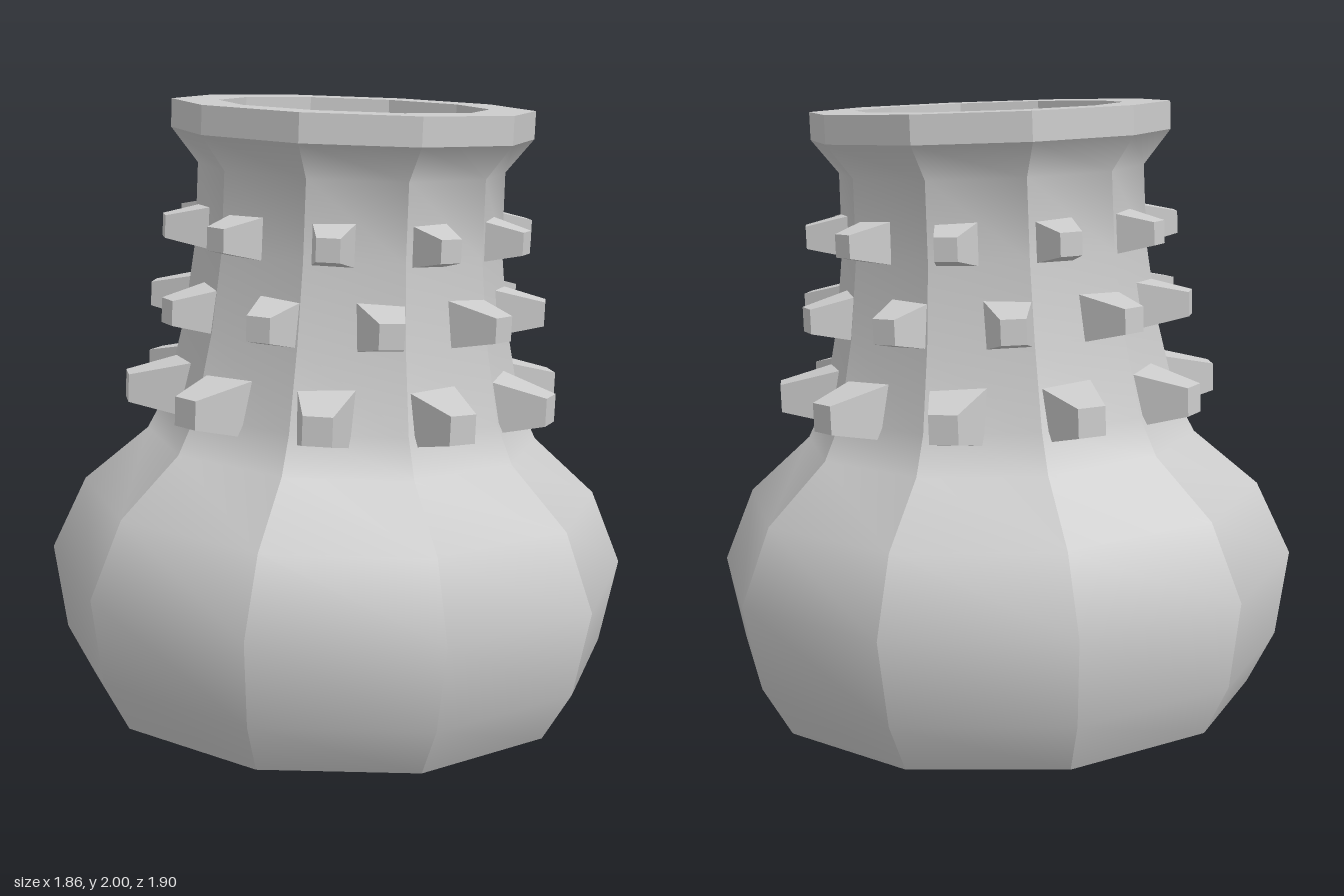
import * as THREE from 'three';
import { mergeGeometries } from 'three/addons/utils/BufferGeometryUtils.js';

const SIDES = 10;
const STEP = (Math.PI * 2) / SIDES;
const START = THREE.MathUtils.degToRad(-5.4);

// Ten-sided turned shell: hard edges between facets; each facet is
// either smooth along the profile or flat at every profile point.
function facetedLathe(profile, smooth) {
  const points = profile.map(([r, y]) => new THREE.Vector2(r, y));
  const strips = [];
  for (let i = 0; i < SIDES; i++) {
    let strip = new THREE.LatheGeometry(points, 1, START + i * STEP, STEP);
    if (!smooth) strip = strip.toNonIndexed();
    strip.computeVertexNormals();
    strips.push(strip);
  }
  return mergeGeometries(strips);
}

// Tapered square stud pointing along +z, from z = 0 to z = length
function studGeometry(base, tip, length) {
  const geo = new THREE.CylinderGeometry(tip * Math.SQRT1_2, base * Math.SQRT1_2, length, 4).toNonIndexed();
  geo.rotateY(Math.PI / 4);
  geo.rotateX(Math.PI / 2);
  geo.translate(0, 0, length / 2);
  geo.computeVertexNormals();
  return geo;
}

export function createModel() {
  const model = new THREE.Group();
  model.name = 'studdedJar';
  const material = new THREE.MeshStandardMaterial({ color: 0xcccccc });
  const flatMaterial = new THREE.MeshStandardMaterial({ color: 0xcccccc, flatShading: true });

  // The whole jar leans slightly forward and to its left
  const jar = new THREE.Group();
  jar.name = 'jar';
  jar.position.set(-0.018, 0.03, -0.018);
  jar.rotation.set(0.028, 0, -0.027);
  model.add(jar);

  const add = (name, geometry, mat, parent = jar) => {
    const mesh = new THREE.Mesh(geometry, mat);
    mesh.name = name;
    parent.add(mesh);
    return mesh;
  };

  // Bulbous body and neck
  add('body', facetedLathe([
    [0.81, 0], [0.905, 0.17], [0.955, 0.45], [0.85, 0.69], [0.645, 0.87],
    [0.585, 0.99], [0.53, 1.25], [0.5, 1.5], [0.497, 1.75], [0.585, 1.86],
  ], true), material);

  // Flat underside
  add('base', facetedLathe([[0, 0], [0.81, 0]], false), flatMaterial);

  // Rim band, lip, inner wall and inner floor
  add('rimAndHollow', facetedLathe([
    [0.585, 1.86], [0.585, 1.95], [0.435, 1.95], [0.435, 0.77], [0, 0.77],
  ], false), flatMaterial);

  // Three staggered rows of studs around the neck
  const rows = [
    { name: 'lowerStud', y: 1.035, inner: 0.51, outer: 0.715, base: 0.185, tip: 0.09, angle: 4.6 },
    { name: 'middleStud', y: 1.31, inner: 0.47, outer: 0.645, base: 0.155, tip: 0.078, angle: 22.6 },
    { name: 'upperStud', y: 1.555, inner: 0.44, outer: 0.605, base: 0.145, tip: 0.072, angle: 4.6 },
  ];
  for (const row of rows) {
    const geo = studGeometry(row.base, row.tip, row.outer - row.inner);
    const ring = new THREE.Group();
    ring.name = row.name + 'Row';
    jar.add(ring);
    for (let i = 0; i < SIDES; i++) {
      const a = THREE.MathUtils.degToRad(row.angle) + i * STEP;
      const stud = add(row.name, geo, flatMaterial, ring);
      stud.position.set(Math.sin(a) * row.inner, row.y, Math.cos(a) * row.inner);
      stud.rotation.y = a;
    }
  }
  return model;
}
